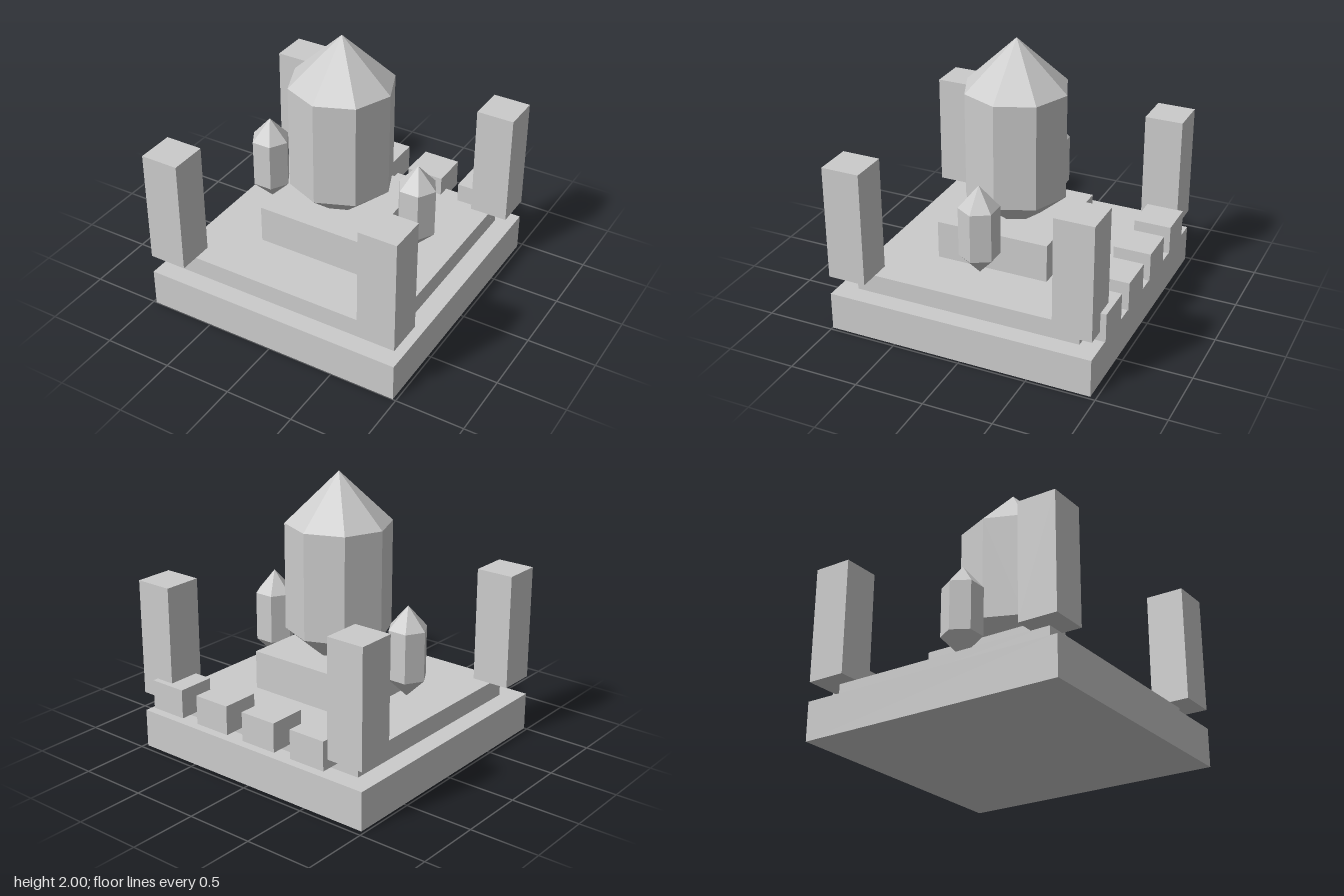
import * as THREE from 'three';

const material = new THREE.MeshStandardMaterial({ color: 0xcccccc, flatShading: true });
const CENTER_Z = 0.02;

// Box given by its centre in plan and its bottom and top heights
function block(name, width, depth, bottom, top, x, z) {
  const mesh = new THREE.Mesh(new THREE.BoxGeometry(width, top - bottom, depth), material);
  mesh.name = name;
  mesh.position.set(x, (bottom + top) / 2, z);
  return mesh;
}

// Faceted prism with a point at each end, heights listed from low to high
function crystal(name, radius, sides, [tipLow, low, high, tipHigh], x) {
  const profile = [[0, tipLow], [radius, low], [radius, high], [0, tipHigh]]
    .map(([r, y]) => new THREE.Vector2(r, y));
  const mesh = new THREE.Mesh(new THREE.LatheGeometry(profile, sides, Math.PI / 2), material);
  mesh.name = name;
  mesh.position.set(x, 0, CENTER_Z);
  return mesh;
}

export function createModel() {
  const model = new THREE.Group();
  model.name = 'crystalShrine';

  // Stepped platform and pedestal
  model.add(
    block('base', 1.955, 1.955, 0, 0.28, 0, CENTER_Z),
    block('upperStep', 1.675, 1.675, 0.28, 0.42, 0, CENTER_Z),
    block('pedestal', 0.835, 0.835, 0.42, 0.70, 0, CENTER_Z),
  );

  // Corner pillars
  for (const sx of [-1, 1]) {
    for (const sz of [-1, 1]) {
      const name = (sz > 0 ? 'front' : 'back') + (sx > 0 ? 'Left' : 'Right') + 'Pillar';
      model.add(block(name, 0.28, 0.28, 0.42, 1.26, sx * 0.838, CENTER_Z + sz * 0.838));
    }
  }

  // Row of blocks along the back edge
  for (let i = 0; i < 4; i++) {
    model.add(block(`backBlock${i + 1}`, 0.28, 0.275, 0.352, 0.562, -0.56 + i * 0.42, -0.8625));
  }

  // Large crystal with a small one on each side
  model.add(
    crystal('mainCrystal', 0.377, 8, [0.55, 0.87, 1.64, 2.0], 0),
    crystal('leftCrystal', 0.143, 6, [0.50, 0.643, 1.0, 1.163], 0.603),
    crystal('rightCrystal', 0.143, 6, [0.50, 0.643, 1.0, 1.163], -0.603),
  );

  return model;
}
